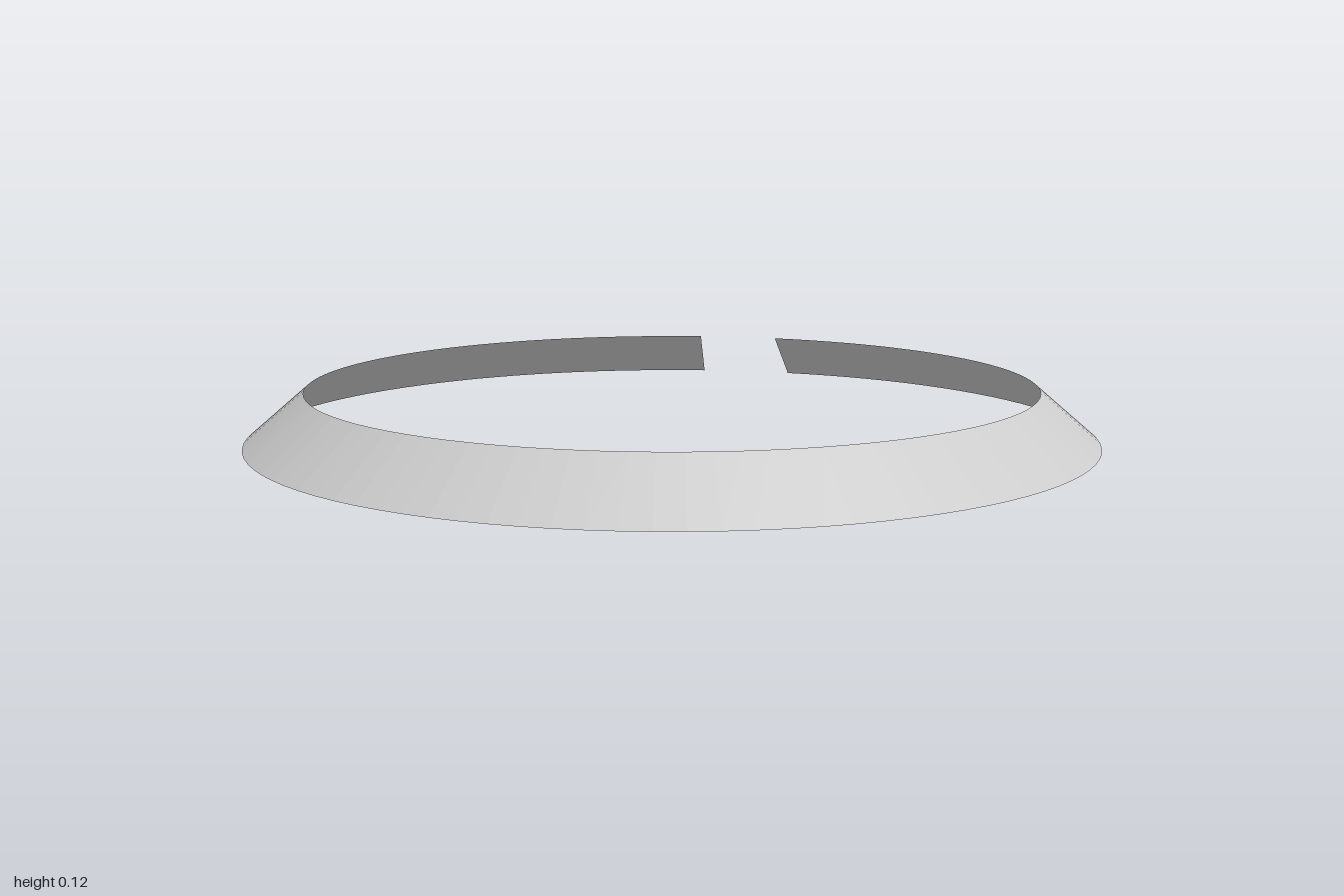
import * as THREE from 'three';

export function createModel() {
  const group = new THREE.Group();
  group.name = 'splitCollar';

  const height = 0.12;
  const halfGap = THREE.MathUtils.degToRad(7.2); // opening at the back

  // Thin sloping band, open at the back
  const geometry = new THREE.CylinderGeometry(
    0.86, 1, height, 96, 1, true,
    Math.PI + halfGap, 2 * Math.PI - 2 * halfGap
  );
  geometry.translate(0, height / 2, -0.004);

  const band = new THREE.Mesh(geometry, new THREE.MeshStandardMaterial({
    color: 0xcccccc, flatShading: true, side: THREE.DoubleSide
  }));
  band.name = 'slopingBand';
  group.add(band);
  return group;
}
